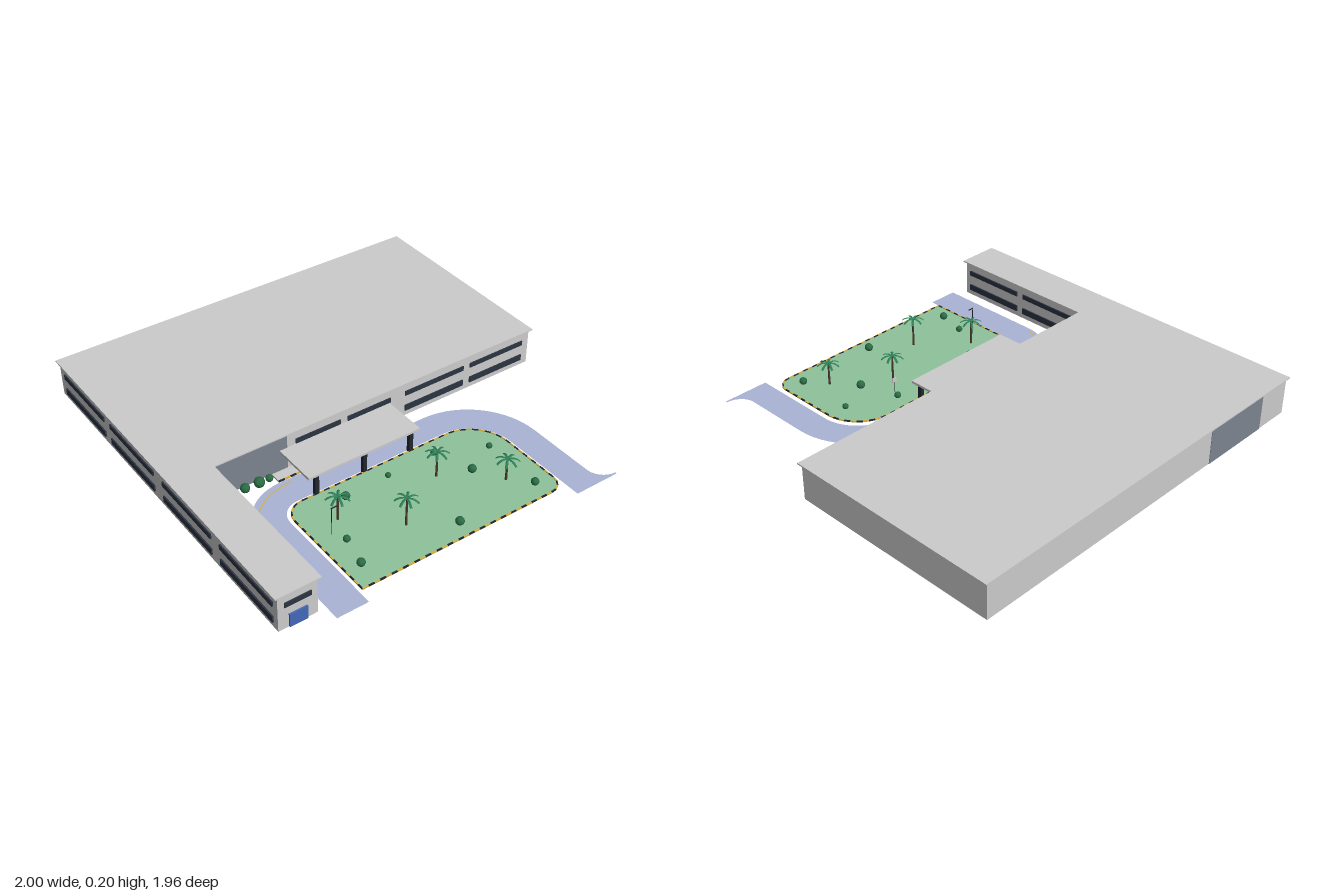
import * as THREE from 'three';

const mat = (color, extra = {}) => new THREE.MeshStandardMaterial({ color, ...extra });
const M = {
  grey: mat(0xcccccc),
  stair: mat(0x7c8490),
  window: mat(0x2b3442),
  blue: mat(0x4468b8),
  dark: mat(0x22262c),
  yellow: mat(0xd8b040),
  road: mat(0xaab4d4, { side: THREE.DoubleSide }),
  grass: mat(0x8fc29b, { side: THREE.DoubleSide }),
  trunk: mat(0x4a3b2c),
  leaf: mat(0x2f8058, { side: THREE.DoubleSide, flatShading: true }),
  bush: mat(0x2a6b45, { flatShading: true }),
};

function add(parent, name, geometry, material, x = 0, y = 0, z = 0) {
  const mesh = new THREE.Mesh(geometry, material);
  mesh.name = name;
  mesh.position.set(x, y, z);
  parent.add(mesh);
  return mesh;
}

// Box given by its lower and upper limits
function span(parent, name, material, x0, x1, y0, y1, z0, z1) {
  return add(parent, name, new THREE.BoxGeometry(x1 - x0, y1 - y0, z1 - z0), material,
    (x0 + x1) / 2, (y0 + y1) / 2, (z0 + z1) / 2);
}

// Ground plan helpers: points are (x, z), laid flat afterwards
const plan = (points) => new THREE.Shape(points.map(([x, z]) => new THREE.Vector2(x, -z)));
const slab = (shape, h) => new THREE.ExtrudeGeometry(shape, { depth: h, bevelEnabled: false }).rotateX(-Math.PI / 2);
const flat = (shape) => new THREE.ShapeGeometry(shape, 14).rotateX(-Math.PI / 2);

// Quarter-round from the current point, around corner (cx, cz), to (ex, ez)
function round(shape, cx, cz, ex, ez) {
  const p = shape.currentPoint, k = 0.5523;
  shape.bezierCurveTo(p.x + (cx - p.x) * k, p.y + (-cz - p.y) * k,
    ex + (cx - ex) * k, -ez + (-cz + ez) * k, ex, -ez);
}

function building() {
  const g = new THREE.Group();
  g.name = 'building';
  add(g, 'walls', slab(plan([[-0.985, -0.97], [0.985, -0.97], [0.985, 0.105], [-0.8, 0.105],
    [-0.8, 0.91], [-0.985, 0.91]]), 0.185), M.grey, 0, 0.01, 0);
  add(g, 'roof', slab(plan([[-1, -0.98], [1, -0.98], [1, 0.115], [-0.785, 0.115],
    [-0.785, 0.92], [-1, 0.92]]), 0.006), M.grey, 0, 0.194, 0);
  span(g, 'darkSection', M.stair, -0.8, -0.415, 0.009, 0.194, -0.972, 0.107);

  // Window bands, upper and lower
  const rows = [[0.125, 0.15], [0.038, 0.07]];
  rows.forEach(([y0, y1], i) => {
    const front = [[0.235, 0.58], [0.62, 0.945]];
    if (i === 0) front.push([-0.37, -0.13], [-0.09, 0.15]);
    for (const [a, b] of front) span(g, 'frontWindow', M.window, a, b, y0, y1, 0.1, 0.11);
    for (const [a, b] of [[0.155, 0.5], [0.54, 0.88]])
      span(g, 'courtWindow', M.window, -0.805, -0.793, y0, y1, a, b);
    for (const [a, b] of [[-0.92, -0.52], [-0.46, -0.06], [0.02, 0.42], [0.49, 0.88]])
      span(g, 'sideWindow', M.window, -0.992, -0.98, y0, y1, a, b);
  });
  span(g, 'wingWindow', M.window, -0.955, -0.83, 0.125, 0.15, 0.9, 0.915);
  span(g, 'wingDoor', M.blue, -0.935, -0.85, 0.012, 0.08, 0.9, 0.918);

  // Entrance with canopy
  span(g, 'entranceGlass', M.blue, -0.37, 0.16, 0.012, 0.092, 0.1, 0.111);
  span(g, 'entranceDoor', M.dark, -0.185, -0.12, 0.012, 0.07, 0.1, 0.115);
  span(g, 'canopy', M.grey, -0.455, 0.145, 0.11, 0.122, 0.105, 0.335);
  for (const x of [-0.41, -0.155, 0.1])
    span(g, 'canopyColumn', M.dark, x - 0.01, x + 0.01, 0.005, 0.11, 0.313, 0.333);
  span(g, 'entranceWalk', M.grey, -0.5, 0.19, 0.002, 0.01, 0.105, 0.165);
  for (let i = 0; i < 23; i++)
    span(g, 'walkCurb', i % 2 ? M.yellow : M.dark, -0.5 + i * 0.03, -0.47 + i * 0.03, 0.004, 0.011, 0.16, 0.167);
  return g;
}

function grounds() {
  const g = new THREE.Group();
  g.name = 'grounds';

  // Horseshoe driveway with a flared exit
  const road = new THREE.Shape();
  road.moveTo(-0.755, -0.975);
  road.lineTo(-0.755, -0.42);
  round(road, -0.755, 0.165, -0.5, 0.165);
  road.lineTo(0.3, -0.165);
  round(road, 0.665, 0.165, 0.665, 0.53);
  road.lineTo(0.665, -0.88);
  round(road, 0.665, 0.965, 0.755, 0.965);
  road.lineTo(0.755, -0.975);
  road.lineTo(0.52, -0.975);
  road.lineTo(0.52, -0.53);
  round(road, 0.52, 0.31, 0.3, 0.31);
  road.lineTo(-0.5, -0.31);
  round(road, -0.6, 0.31, -0.6, 0.41);
  road.lineTo(-0.6, -0.975);
  add(g, 'driveway', flat(road), M.road);

  // Yellow lane line
  const lane = new THREE.Shape();
  lane.moveTo(-0.73, -0.4);
  round(lane, -0.73, 0.187, -0.45, 0.187);
  lane.lineTo(-0.45, -0.193);
  round(lane, -0.724, 0.193, -0.724, 0.4);
  add(g, 'laneLine', flat(lane), M.yellow, 0, 0.002, 0);

  // Lawn, and a striped curb following its edge
  const lawn = new THREE.Shape();
  lawn.moveTo(-0.585, -0.91);
  lawn.lineTo(-0.585, -0.42);
  round(lawn, -0.585, 0.33, -0.49, 0.33);
  lawn.lineTo(0.3, -0.33);
  round(lawn, 0.5, 0.33, 0.5, 0.53);
  lawn.lineTo(0.5, -0.84);
  round(lawn, 0.5, 0.91, 0.43, 0.91);
  lawn.closePath();
  add(g, 'lawn', flat(lawn), M.grass, 0, 0.01, 0);
  const pts = lawn.getSpacedPoints(110);
  for (let i = 0; i < 110; i++) {
    const a = pts[i], b = pts[i + 1];
    const dash = add(g, 'lawnCurb', new THREE.BoxGeometry(a.distanceTo(b), 0.006, 0.007),
      i % 2 ? M.yellow : M.dark, (a.x + b.x) / 2, 0.01, -(a.y + b.y) / 2);
    dash.rotation.y = Math.atan2(b.y - a.y, b.x - a.x);
  }

  // Lamp post and entrance sign
  add(g, 'lampPost', new THREE.CylinderGeometry(0.0015, 0.0015, 0.146, 6), M.dark, -0.505, 0.082, 0.578);
  span(g, 'lampHead', M.dark, -0.508, -0.478, 0.153, 0.157, 0.576, 0.58);
  add(g, 'signPost', new THREE.CylinderGeometry(0.0015, 0.0015, 0.056, 6), M.dark, 0.147, 0.036, 0.455);
  span(g, 'signPanel', M.grey, 0.134, 0.16, 0.064, 0.086, 0.453, 0.457);
  return g;
}

// Palm with a ring of drooping fronds
function palm(x, z, h, turn) {
  const g = new THREE.Group();
  g.name = 'palm';
  g.position.set(x, 0.005, z);
  add(g, 'trunk', new THREE.CylinderGeometry(0.004, 0.006, h, 7), M.trunk, 0, h / 2, 0);
  const frond = new THREE.PlaneGeometry(0.055, 0.014, 4, 2).rotateX(-Math.PI / 2).translate(0.0275, 0, 0);
  const p = frond.attributes.position;
  for (let i = 0; i < p.count; i++) {
    const t = p.getX(i) / 0.055;
    p.setY(i, 0.01 * Math.sin(t * 2.2) - 0.019 * t * t - Math.abs(p.getZ(i)) * 0.4);
    p.setZ(i, p.getZ(i) * (0.6 + 0.9 * t - 0.7 * t * t));
  }
  frond.computeVertexNormals();
  for (let i = 0; i < 7; i++)
    add(g, 'frond', frond, M.leaf, 0, h, 0).rotation.y = turn + (i * Math.PI * 2) / 7;
  return g;
}

export function createModel() {
  const model = new THREE.Group();
  model.name = 'schoolBuilding';
  model.add(building(), grounds());

  [[-0.43, 0.515, 0.133], [0.085, 0.535, 0.143], [-0.215, 0.71, 0.155], [0.32, 0.73, 0.122]]
    .forEach(([x, z, h], i) => model.add(palm(x, z, h, i * 0.4)));

  // Lawn shrubs, then the row beside the building: x, z, radius
  const shrubs = [[-0.325, 0.425, 0.02], [-0.09, 0.415, 0.014], [0.17, 0.41, 0.017], [0.405, 0.515, 0.015],
    [0.235, 0.6, 0.021], [-0.475, 0.645, 0.017], [-0.51, 0.795, 0.02], [-0.025, 0.835, 0.021], [0.405, 0.825, 0.019],
    [-0.72, 0.137, 0.028], [-0.655, 0.135, 0.023], [-0.585, 0.14, 0.026], [-0.53, 0.134, 0.018]];
  shrubs.forEach(([x, z, r], i) => {
    add(model, 'shrub', new THREE.IcosahedronGeometry(r, 1), M.bush, x, 0.005 + r * 0.95, z).rotation.y = i;
  });
  return model;
}
